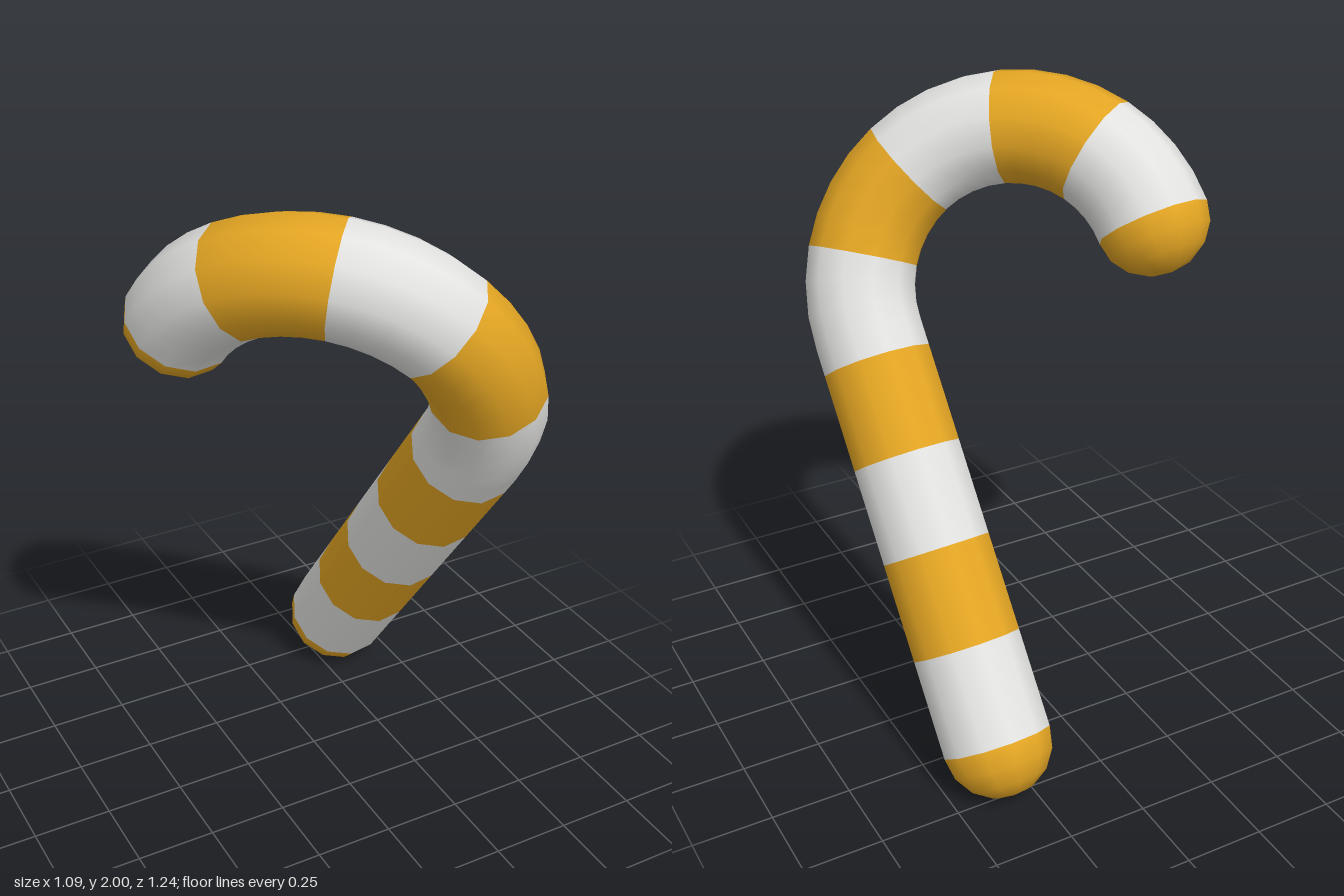
import * as THREE from 'three';

const SIDES = 12, RADIUS = 0.172, SHAFT = 1.314, BEND = 0.47;
// Tilted plane of the cane: shaft direction, hook direction and plane normal
const base = new THREE.Vector3(0.335, 0.17, -0.44);
const along = new THREE.Vector3(0.028, 0.811, 0.584).normalize();
const side = new THREE.Vector3().crossVectors(along, new THREE.Vector3(-0.797, 0.372, -0.476)).normalize();
const across = new THREE.Vector3().crossVectors(side, along);

// Centre line at distance s: straight shaft, then a circular hook
function station(s) {
  const t = Math.max(0, s - SHAFT) / BEND;
  const point = base.clone()
    .addScaledVector(along, Math.min(s, SHAFT) + BEND * Math.sin(t))
    .addScaledVector(across, BEND * (1 - Math.cos(t)));
  const tangent = along.clone().multiplyScalar(Math.cos(t)).addScaledVector(across, Math.sin(t));
  return { point, tangent, out: new THREE.Vector3().crossVectors(side, tangent) };
}

// Loft rings { s, lift, lean }: lean is the polar angle used for rounded ends
function loft(rings, capLength) {
  const pos = [], nor = [], idx = [];
  rings.forEach(({ s, lean }, i) => {
    const { point, tangent, out } = station(s);
    const c = Math.cos(lean), l = Math.sin(lean);
    for (let j = 0; j <= SIDES; j++) {
      const a = (j / SIDES) * Math.PI * 2;
      const radial = out.clone().multiplyScalar(Math.cos(a)).addScaledVector(side, Math.sin(a));
      const p = point.clone().addScaledVector(radial, RADIUS * c).addScaledVector(tangent, capLength * l);
      const n = radial.multiplyScalar(c).addScaledVector(tangent, l);
      pos.push(p.x, p.y, p.z);
      nor.push(n.x, n.y, n.z);
      if (i < rings.length - 1 && j < SIDES) {
        const v = i * (SIDES + 1) + j, w = v + SIDES + 1;
        idx.push(v, v + 1, w + 1, v, w + 1, w);
      }
    }
  });
  const geo = new THREE.BufferGeometry();
  geo.setAttribute('position', new THREE.Float32BufferAttribute(pos, 3));
  geo.setAttribute('normal', new THREE.Float32BufferAttribute(nor, 3));
  geo.setIndex(idx);
  return geo;
}

export function createModel() {
  const gold = new THREE.MeshStandardMaterial({ color: 0xe3a523 });
  gold.name = 'gold';
  const white = new THREE.MeshStandardMaterial({ color: 0xe2e2e0 });
  white.name = 'white';
  const cane = new THREE.Group();
  cane.name = 'stripedCane';
  const add = (name, geo, mat) => {
    const mesh = new THREE.Mesh(geo, mat);
    mesh.name = name;
    cane.add(mesh);
  };

  // Alternating stripes
  const stops = [0, 0.305, 0.61, 0.91, 1.215, 1.55, 1.86, 2.18, 2.485, 2.766];
  for (let i = 0; i < stops.length - 1; i++) {
    const rings = [0, 1, 2, 3, 4].map(k => ({ s: THREE.MathUtils.lerp(stops[i], stops[i + 1], k / 4), lean: 0 }));
    add(i % 2 ? 'goldStripe' : 'whiteStripe', loft(rings, 0), i % 2 ? gold : white);
  }

  // Rounded ends
  const steps = [0, 1, 2, 3, 4].map(k => (k / 4) * Math.PI / 2);
  const end = stops[stops.length - 1];
  add('hookTip', loft(steps.map(lean => ({ s: end, lean })), 0.16), gold);
  add('footTip', loft(steps.map(lean => ({ s: 0, lean: -lean })).reverse(), RADIUS), gold);
  return cane;
}
